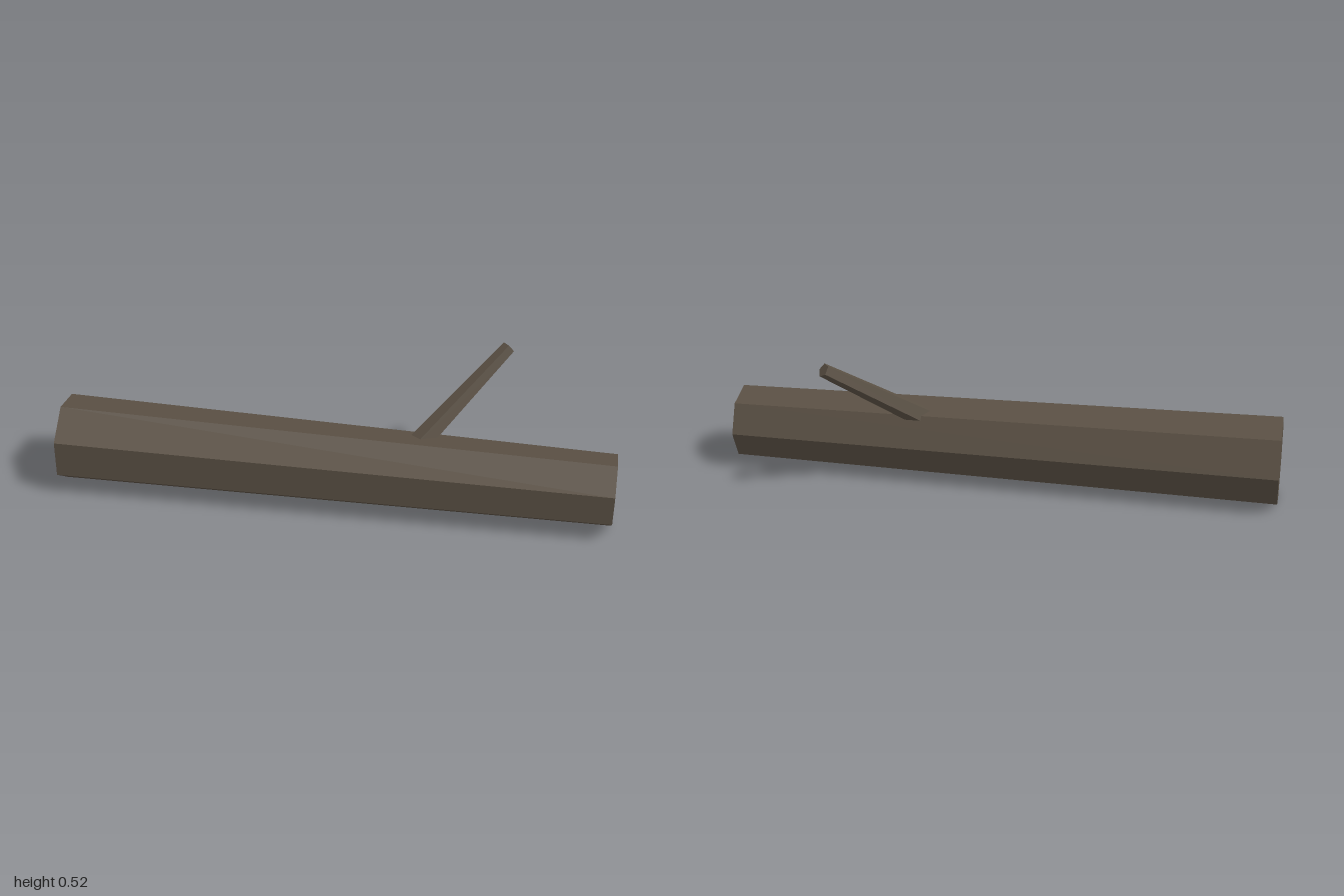
import * as THREE from 'three';

// Tapered beam between two points; 'toward' points at its first corner.
function beam(name, from, to, r0, r1, sides, toward, material) {
  const a = new THREE.Vector3(...from), b = new THREE.Vector3(...to);
  const axis = b.clone().sub(a), length = axis.length();
  axis.normalize();
  const corner = new THREE.Vector3(...toward).projectOnPlane(axis).normalize();
  const side = axis.clone().cross(corner);
  const geometry = new THREE.CylinderGeometry(r1, r0, length, sides);
  const matrix = new THREE.Matrix4().makeBasis(side, axis, corner);
  matrix.setPosition(a.add(b).multiplyScalar(0.5));
  geometry.applyMatrix4(matrix);
  const mesh = new THREE.Mesh(geometry.toNonIndexed(), material);
  mesh.geometry.computeVertexNormals();
  mesh.name = name;
  return mesh;
}

export function createModel() {
  const bark = new THREE.MeshStandardMaterial({ color: 0x5a5044 });
  bark.name = 'bark';
  bark.flatShading = true;

  const group = new THREE.Group();
  group.name = 'fallenLog';
  // Seven-sided trunk lying on the ground, thinner toward +x
  group.add(beam('trunk', [-0.993, 0.155, 0.019], [0.993, 0.142, 0.117], 0.159, 0.132, 7, [0, 0, -1], bark));
  // Five-sided branch stub rising up and back out of the trunk
  group.add(beam('branch', [0.254, 0.2, 0.07], [0.593, 0.507, -0.213], 0.043, 0.0255, 5, [0, 1, 1], bark));
  return group;
}
